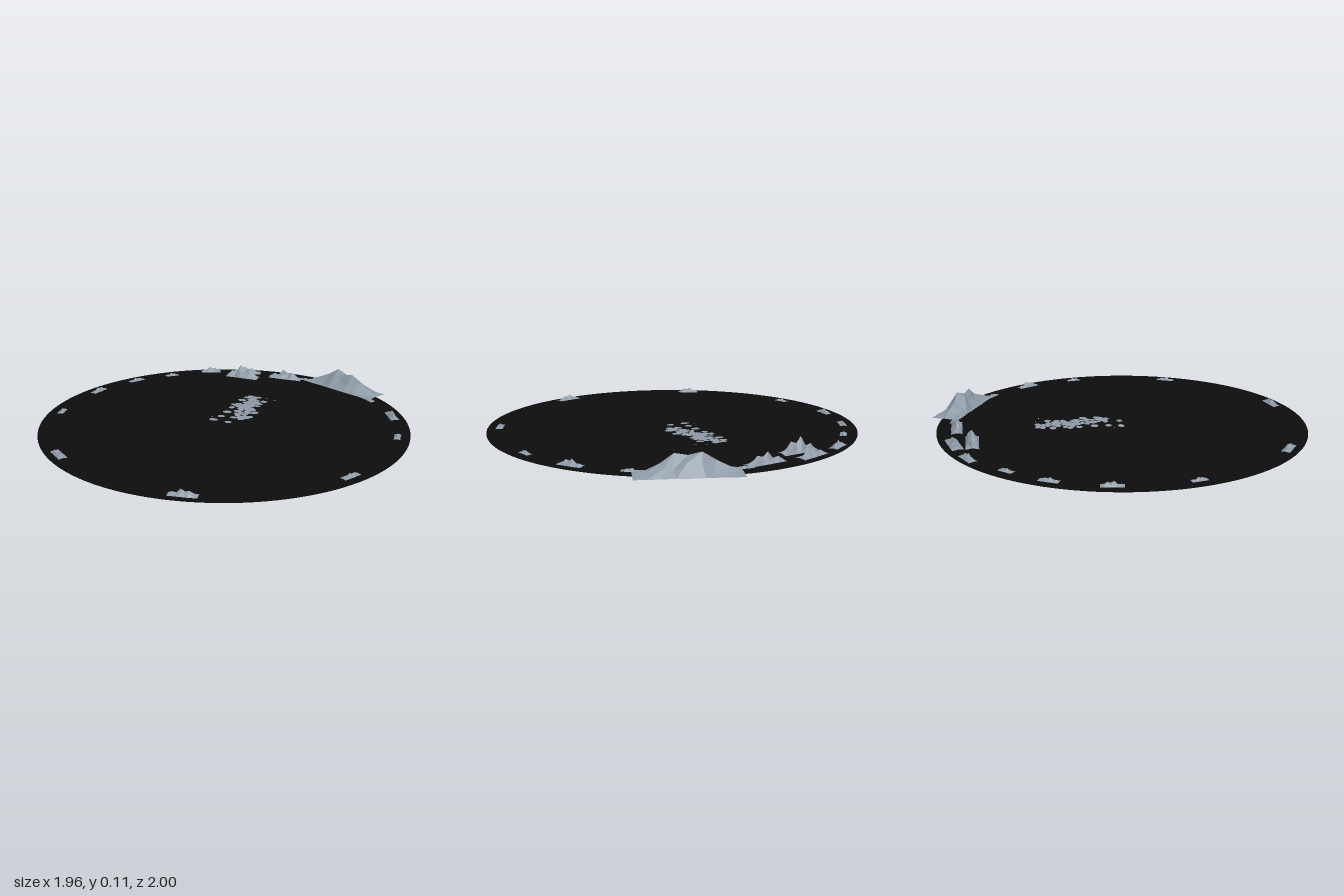
import * as THREE from 'three';

export function createModel() {
  const black = new THREE.MeshStandardMaterial({ color: 0x0d0d0d });
  black.name = 'blackGround';
  const rock = new THREE.MeshStandardMaterial({ color: 0x8f9ba8, side: THREE.DoubleSide });
  rock.name = 'greyRock';

  const model = new THREE.Group();
  model.name = 'islandDisc';
  let seed = 11;
  const rand = () => {
    seed = (seed * 16807) % 2147483647;
    return seed / 2147483647;
  };
  const jitter = (amount) => (rand() - 0.5) * 2 * amount;

  // Ground disc
  const top = 0.004;
  const ground = new THREE.Mesh(new THREE.CylinderGeometry(0.981, 0.981, top, 128), black);
  ground.name = 'groundDisc';
  ground.position.set(0, top / 2, 0.014);
  model.add(ground);

  // Faceted ridge: a grid strip raised along its length by a height profile
  function addRidge(name, x, z, length, width, degrees, height, profile) {
    const n = profile.length - 1;
    const geo = new THREE.PlaneGeometry(length, width, n, 4).rotateX(-Math.PI / 2);
    const across = [0, 0.5, 1, 0.5, 0];
    const p = geo.attributes.position;
    for (let i = 0; i < p.count; i++) {
      const col = i % (n + 1), row = Math.floor(i / (n + 1));
      const wobble = row === 2 ? 1 : 1 + jitter(0.4);
      p.setY(i, height * profile[col] * across[row] * wobble);
      const inner = row > 0 && row < 4 ? 1 : 0.5;
      p.setZ(i, p.getZ(i) + jitter(width * 0.06) * inner);
      if (col > 0 && col < n && row !== 2) p.setX(i, p.getX(i) + jitter(length / n * 0.25));
    }
    const flat = geo.toNonIndexed();
    flat.computeVertexNormals();
    const mesh = new THREE.Mesh(flat, rock);
    mesh.name = name;
    mesh.position.set(x, top + 0.001, z);
    mesh.rotation.y = -THREE.MathUtils.degToRad(degrees);
    model.add(mesh);
  }

  // Large mountain overhanging the rear edge
  addRidge('largeMountain', 0.39, -0.842, 0.49, 0.15, 23, 0.1,
    [0.04, 0.3, 0.6, 1, 0.82, 0.93, 0.52, 0.2, 0.04]);

  // Smaller ridges round the rim: x, z, length, width, angle, height
  const ridges = [
    [-0.265, -0.863, 0.18, 0.06, -16, 0.04],
    [-0.25, -0.775, 0.205, 0.068, -3, 0.075],
    [0.0, -0.863, 0.205, 0.058, -3, 0.053],
    [0.13, -0.885, 0.1, 0.03, 8, 0.012],
    [-0.48, -0.788, 0.12, 0.045, -28, 0.032],
    [-0.665, -0.607, 0.08, 0.035, -48, 0.016],
    [-0.81, -0.42, 0.1, 0.038, -62, 0.018],
    [-0.905, -0.147, 0.11, 0.04, -82, 0.024],
    [-0.887, 0.245, 0.08, 0.033, 76, 0.017],
    [-0.53, 0.77, 0.12, 0.045, 33, 0.027],
    [0.235, 0.912, 0.14, 0.045, -13, 0.03],
    [0.833, 0.4, 0.105, 0.038, -65, 0.019],
    [0.785, -0.47, 0.13, 0.046, 57, 0.032],
    [0.895, -0.18, 0.08, 0.033, 79, 0.017],
    [0.59, -0.685, 0.09, 0.033, 38, 0.015],
  ];
  const hill = [0.1, 0.45, 0.35, 1, 0.6, 0.75, 0.3, 0.1];
  ridges.forEach(([x, z, l, w, a, h], i) => addRidge('rimRidge' + (i + 1), x, z, l, w, a, h, hill));

  // Trail of flat patches; each row holds z followed by x positions
  const trail = new THREE.Group();
  trail.name = 'patchTrail';
  const disc = new THREE.CircleGeometry(1, 12).rotateX(-Math.PI / 2);
  function addPatch(x, z, rx, rz) {
    const patch = new THREE.Mesh(disc, rock);
    patch.name = 'trailPatch';
    patch.position.set(x, top + 0.002 + rand() * 0.001, z);
    patch.scale.set(rx, 1, rz);
    trail.add(patch);
  }
  const rows = [
    [-0.435, -0.045, -0.015, 0.005],
    [-0.41, -0.055, -0.015],
    [-0.38, -0.02, 0.015, 0.06],
    [-0.355, -0.065, -0.01, 0.025],
    [-0.33, -0.03, 0.01, 0.05],
    [-0.3, -0.055, -0.01, 0.03, 0.055],
    [-0.275, -0.07, -0.02, 0.015],
    [-0.25, -0.04, 0.0, 0.04],
    [-0.225, -0.065, -0.01, 0.025, 0.06],
    [-0.195, 0.0, 0.04, 0.085],
    [-0.17, -0.01, 0.02, 0.055],
    [-0.145, -0.055, 0.01, 0.05],
    [-0.12, 0.02, 0.06, 0.09],
    [-0.095, 0.045, 0.075],
    [-0.07, -0.055, 0.015, 0.06],
    [0.0, -0.07, 0.018],
  ];
  for (const [z, ...xs] of rows) {
    for (const x of xs) addPatch(x, z + jitter(0.006), 0.021 + jitter(0.005), 0.018 + jitter(0.004));
  }
  // Stray slivers beside the trail
  for (const [x, z] of [[0.11, -0.43], [0.05, -0.45], [-0.1, -0.04]]) addPatch(x, z, 0.011, 0.003);
  model.add(trail);

  return model;
}
